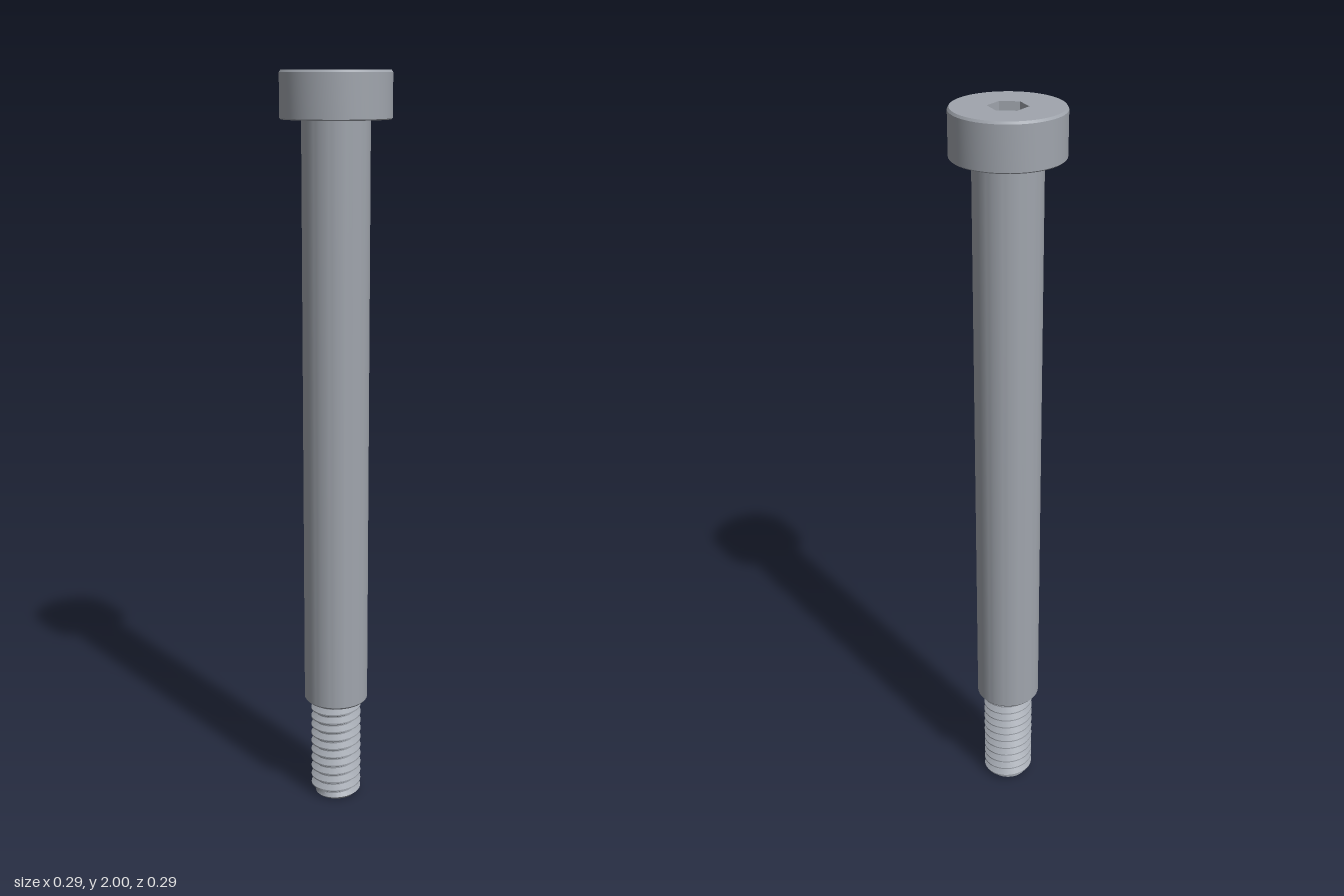
import * as THREE from 'three';
import { toCreasedNormals } from 'three/addons/utils/BufferGeometryUtils.js';

const SEG = 64;

// Sharp-edged turned part from a [radius, height] profile, listed bottom to top
function turned(points) {
  const profile = points.map(([r, y]) => new THREE.Vector2(r, y));
  return toCreasedNormals(new THREE.LatheGeometry(profile, SEG), 0.5);
}

// Right-handed helical thread, its rows following the helix; chamfered at the tip
function threadGeometry(root, crest, pitch, top) {
  const wave = [root, root, crest, crest];
  const offset = [0, 0.14, 0.5, 0.64];
  const tip = 0.055;
  const turns = Math.ceil(top / pitch) + 1;
  const rows = (turns + 1) * 4;
  const positions = [];
  const point = (k, i) => {
    const t = i / SEG;
    const a = t * Math.PI * 2;
    const y = THREE.MathUtils.clamp((Math.floor(k / 4) - 1 + offset[k % 4] + t) * pitch, 0, top);
    const r = y <= 0 ? tip : y >= top ? root : Math.min(wave[k % 4], tip + y);
    return [r * Math.cos(a), y, -r * Math.sin(a)];
  };
  const triangle = (a, b, c) => {
    const flat = a[1] === b[1] && b[1] === c[1];
    if (!flat) positions.push(...a, ...b, ...c);
  };
  for (let k = 0; k < rows; k++) {
    for (let i = 0; i < SEG; i++) {
      const a = point(k, i), b = point(k, i + 1);
      const c = point(k + 1, i + 1), d = point(k + 1, i);
      triangle(a, b, d);
      triangle(b, c, d);
    }
  }
  const geometry = new THREE.BufferGeometry();
  geometry.setAttribute('position', new THREE.Float32BufferAttribute(positions, 3));
  return toCreasedNormals(geometry, 0.6);
}

export function createModel() {
  const group = new THREE.Group();
  const steel = new THREE.MeshStandardMaterial({ color: 0xa0a5ad });
  steel.name = 'steel';
  const add = (name, geometry) => {
    const mesh = new THREE.Mesh(geometry, steel);
    mesh.name = name;
    group.add(mesh);
    return mesh;
  };

  // Head: chamfered rim and underside
  add('headRim', turned([[0.08, 1.88], [0.14, 1.88], [0.143, 1.883], [0.143, 1.994], [0.139, 2]]));

  // Top face with the hexagonal socket cut through it
  const face = new THREE.Shape().absarc(0, 0, 0.139, 0, Math.PI * 2);
  const hex = new THREE.Path();
  for (let i = 0; i < 6; i++) {
    const a = (i + 0.5) * Math.PI / 3;
    const x = 0.05 * Math.cos(a), y = 0.05 * Math.sin(a);
    if (i === 0) hex.moveTo(x, y);
    else hex.lineTo(x, y);
  }
  hex.closePath();
  face.holes.push(hex);
  const socketDepth = 0.06;
  const headTop = new THREE.ExtrudeGeometry(face, { depth: socketDepth, bevelEnabled: false, curveSegments: SEG / 2 });
  headTop.rotateX(-Math.PI / 2).translate(0, 2 - socketDepth, 0);
  add('headTopAndSocket', headTop);

  // Socket floor
  const floor = new THREE.CircleGeometry(0.055, 6, Math.PI / 6);
  add('socketFloor', floor.rotateX(-Math.PI / 2).translate(0, 2 - socketDepth, 0));

  // Plain shoulder with a small chamfer above the thread
  add('shoulder', turned([[0.04, 0.292], [0.083, 0.292], [0.088, 0.298], [0.088, 1.882]]));

  // Threaded end and its flat tip
  add('thread', threadGeometry(0.055, 0.07, 0.026, 0.295));
  add('threadTip', new THREE.CircleGeometry(0.055, SEG).rotateX(Math.PI / 2));

  return group;
}
